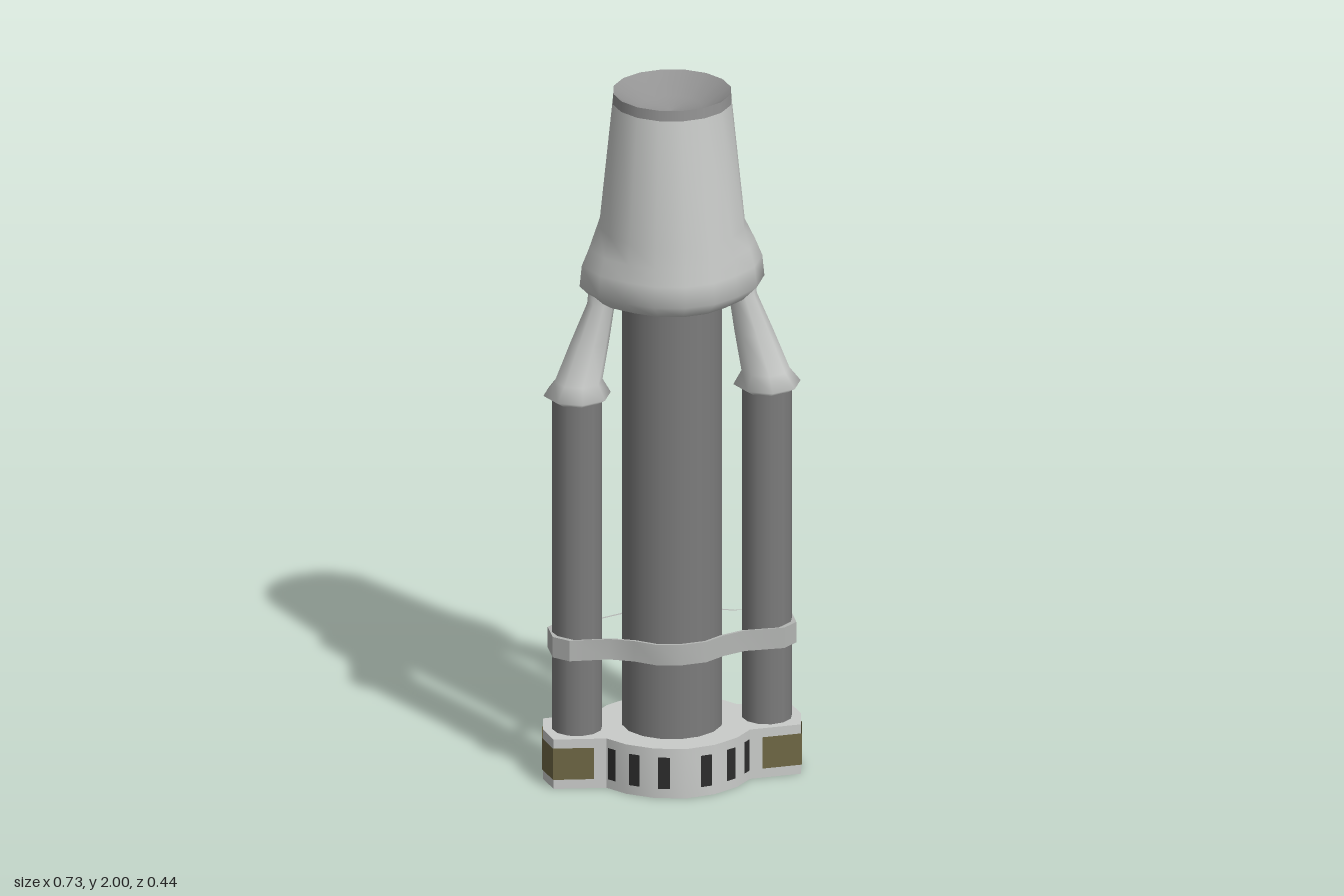
import * as THREE from 'three';
import { mergeVertices, toCreasedNormals } from 'three/addons/utils/BufferGeometryUtils.js';

const mat = (name, color, side = THREE.FrontSide) => {
  const m = new THREE.MeshStandardMaterial({ color, side });
  m.name = name;
  return m;
};

export function createModel() {
  const white = mat('off white', 0xcaccca);
  const metal = mat('metal grey', 0x7c7c7c);
  const capGrey = mat('cap grey', 0x939393);
  const strapGrey = mat('strap grey', 0xb4b6b4);
  const olive = mat('olive', 0x6e6744, THREE.DoubleSide);
  const dark = mat('dark grey', 0x2c2c2c, THREE.DoubleSide);

  const group = new THREE.Group();
  const add = (name, geometry, material) => {
    const mesh = new THREE.Mesh(geometry, material);
    mesh.name = name;
    group.add(mesh);
    return mesh;
  };

  // Lathe whose points can be moved by a rule, with a smooth seam
  const lathe = (profile, sides, rule) => {
    let g = new THREE.LatheGeometry(profile.map(([r, y]) => new THREE.Vector2(r, y)), sides);
    if (!rule) return g;
    const p = g.attributes.position;
    const v = new THREE.Vector3();
    for (let i = 0; i < p.count; i++) {
      rule(v.fromBufferAttribute(p, i));
      p.setXYZ(i, v.x, v.y, v.z);
    }
    g.deleteAttribute('uv');
    g.deleteAttribute('normal');
    g = mergeVertices(g);
    g.computeVertexNormals();
    return g;
  };

  // Closed outline mirrored from one quarter, running from the front to the +x end
  const outline = (quarter, scale = 1) => {
    const right = [...quarter, ...quarter.slice().reverse().map(([x, z]) => [x, -z])];
    const left = right.slice(1, -1).reverse().map(([x, z]) => [-x, z]);
    return [...right, ...left].map(([x, z]) => new THREE.Vector2(x * scale, z * scale));
  };
  const slab = (quarter, y, height, holeScale) => {
    const shape = new THREE.Shape(outline(quarter));
    if (holeScale) shape.holes.push(new THREE.Path(outline(quarter, holeScale)));
    const g = new THREE.ExtrudeGeometry(shape, { depth: height, bevelEnabled: false });
    g.rotateX(-Math.PI / 2).translate(0, y, 0);
    return toCreasedNormals(g, 0.6);
  };

  // Upright thin panel following a few plan points
  const wall = (points, y0, y1) => {
    const pos = [];
    const index = [];
    points.forEach(([x, z], i) => {
      pos.push(x, y0, z, x, y1, z);
      if (i) {
        const a = 2 * (i - 1);
        index.push(a, a + 2, a + 1, a + 1, a + 2, a + 3);
      }
    });
    const g = new THREE.BufferGeometry();
    g.setAttribute('position', new THREE.Float32BufferAttribute(pos, 3));
    g.setIndex(index);
    return toCreasedNormals(g, 0.4);
  };

  // Base: round centre with a lobe on each side
  const baseQuarter = [[0, 0.22], [0.085, 0.2], [0.155, 0.155], [0.2, 0.1], [0.345, 0.084], [0.36, 0.002]];
  add('base', slab(baseQuarter, 0, 0.145), white);

  // Olive end panels wrapped round the lobes
  for (const s of [1, -1]) {
    const half = [[0.235, 0.1], [0.347, 0.088], [0.363, 0]];
    const ends = [...half, ...half.slice(0, 2).reverse().map(([x, z]) => [x, -z])];
    add('endPanel', wall(ends.map(([x, z]) => [x * s, z * s]), 0.028, 0.12), olive);
  }

  // Dark vents on the round part of the base
  for (let i = 0; i < 3; i++) {
    const [a, b] = [baseQuarter[i], baseQuarter[i + 1]];
    const at = (t) => [0, 1].map((k) => (a[k] + (b[k] - a[k]) * t) * 1.015);
    for (const sx of [1, -1]) {
      for (const sz of [1, -1]) {
        const ends = [at(0.5), at(0.87)].map(([x, z]) => [x * sx, z * sz]);
        if (sx * sz < 0) ends.reverse();
        add('vent', wall(ends, 0.028, 0.12), dark);
      }
    }
  }

  // Core column
  add('core', new THREE.CylinderGeometry(0.14, 0.14, 1.31, 16).translate(0, 0.765, 0), metal);

  // Side tubes with flared arms leaning in to the shroud
  const armProfile = [[0.062, 1.105], [0.094, 1.125], [0.067, 1.165], [0.054, 1.28], [0.039, 1.39], [0.05, 1.45]];
  for (const s of [1, -1]) {
    const tube = new THREE.CylinderGeometry(0.07, 0.07, 1.02, 12).translate(0.265 * s, 0.62, 0);
    add('sideTube', tube, metal);
    const arm = lathe(armProfile, 8, (v) => {
      v.x += s * (0.265 - Math.max(0, v.y - 1.15) * 0.28);
    });
    add('arm', arm, white);
  }

  // Strap round the column and tubes
  const strapQuarter = [[0, 0.162], [0.07, 0.15], [0.125, 0.11], [0.19, 0.082], [0.3, 0.078], [0.34, 0.04]];
  add('strap', slab(strapQuarter, 0.37, 0.06, 0.95), strapGrey);

  // Shroud, bulging over the arms near its lower edge
  const shroudProfile = [[0.13, 1.385], [0.18, 1.4], [0.22, 1.44], [0.214, 1.5], [0.209, 1.55], [0.203, 1.61], [0.166, 1.97]];
  const shroud = lathe(shroudProfile, 16, (v) => {
    const r = Math.hypot(v.x, v.z);
    const toSide = Math.max(0, (Math.abs(v.x) / r - 0.85) / 0.15);
    const low = Math.min(1, Math.max(0, (1.61 - v.y) / 0.1));
    const k = 1 + (0.038 * toSide * low) / r;
    v.x *= k;
    v.z *= k;
  });
  add('shroud', shroud, white);

  // Top rim and hollow
  add('rim', lathe([[0.166, 1.97], [0.164, 2]], 16), capGrey);
  add('hollow', lathe([[0.164, 2], [0.085, 1.95], [0, 1.94]], 16), capGrey);

  return group;
}
